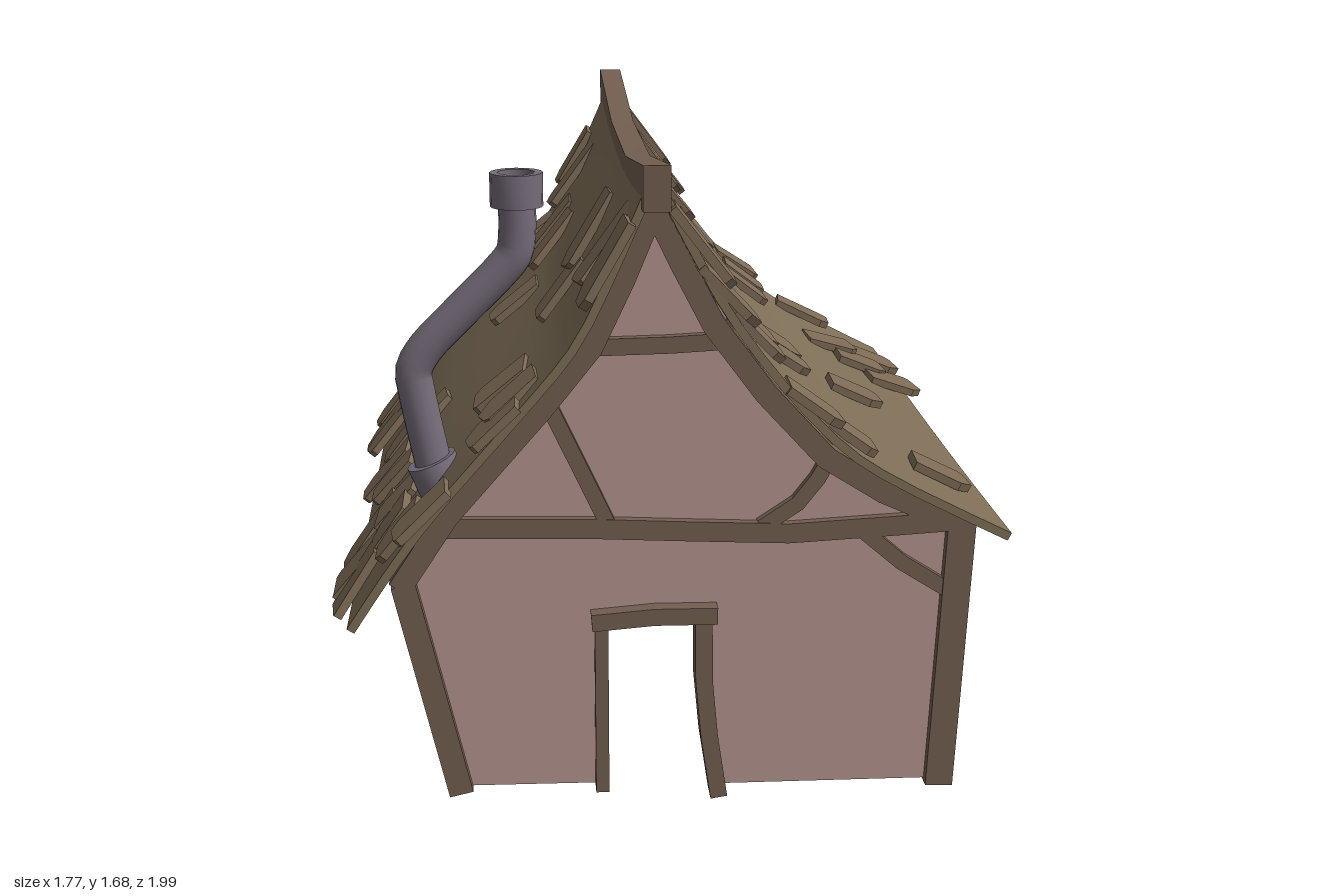
import * as THREE from 'three';
import { toCreasedNormals } from 'three/addons/utils/BufferGeometryUtils.js';

const V2 = (p) => new THREE.Vector2(p[0], p[1]);
const mat = (color, flatShading = false) => new THREE.MeshStandardMaterial({ color, flatShading, side: THREE.DoubleSide });
const WOOD = mat(0x735f51), ROOF = mat(0x7e6e57), TILE = mat(0x7d6b56, true);
const WALL = mat(0xb5958e), METAL = mat(0x766d7a);
const END = 0.843; // z of the gable walls

let seed = 7;
const rnd = (a, b) => {
  seed = (seed * 16807) % 2147483647;
  return a + (b - a) * (seed / 2147483647);
};

function add(parent, name, geo, material) {
  const m = new THREE.Mesh(geo, material);
  m.name = name;
  parent.add(m);
  return m;
}

// Strip of constant width along a 2D line, extruded in z about z = 0
function strip(points, width, depth, steps = 1) {
  const p = points.map(V2), a = [], b = [];
  p.forEach((q, i) => {
    const t = p[Math.min(i + 1, p.length - 1)].clone().sub(p[Math.max(i - 1, 0)]).normalize();
    const n = new THREE.Vector2(-t.y, t.x).multiplyScalar(width / 2);
    a.push(q.clone().add(n));
    b.unshift(q.clone().sub(n));
  });
  const g = new THREE.ExtrudeGeometry(new THREE.Shape([...a, ...b]), { depth, steps, bevelEnabled: false });
  return g.translate(0, 0, -depth / 2);
}
const beam = (parent, name, z, points, width, depth = 0.052) => {
  const m = add(parent, name, strip(points, width, depth), WOOD);
  m.position.z = z;
  return m;
};

// Roof slopes from ridge to eave, and the rafters below them
const smooth = (pts) => new THREE.SplineCurve(pts.map(V2)).getPoints(14).map((v) => [v.x, v.y]);
const slopes = {
  right: smooth([[-0.06, 1.645], [0.03, 1.47], [0.12, 1.31], [0.25, 1.135], [0.4, 0.975], [0.55, 0.873], [0.83, 0.728]]),
  left: smooth([[-0.065, 1.645], [-0.16, 1.43], [-0.25, 1.25], [-0.36, 1.11], [-0.6, 0.835], [-0.72, 0.675], [-0.82, 0.525]]),
};
const rafterL = [[-0.7, 0.61], [-0.575, 0.8], [-0.335, 1.075], [-0.215, 1.225], [-0.135, 1.395], [-0.065, 1.565]];
const rafterR = [[-0.06, 1.565], [0.005, 1.43], [0.085, 1.275], [0.215, 1.1], [0.37, 0.93], [0.52, 0.835], [0.73, 0.74]];

// The roof sags between its ends, most at the ridge
const sag = (y, z) => (0.008 + 0.05 * Math.max(0, y - 0.7)) * Math.max(0, 1 - (z / 0.92) ** 2);

function gableWall(back) {
  const s = new THREE.Shape([
    [-0.56, 0.05], [-0.195, 0.045], [-0.195, 0.51], [0.06, 0.51], [0.07, 0.25], [0.105, 0.03],
    [0.69, 0.025], [0.72, 0.74], ...rafterR.slice(0, -1).reverse(), ...rafterL.slice(0, -1).reverse(),
  ].map(V2));
  if (back) {
    for (const x of [0.38, -0.4])
      s.holes.push(new THREE.Path([[x - 0.09, 0.29], [x - 0.09, 0.5], [x + 0.09, 0.5], [x + 0.09, 0.29]].map(V2)));
    s.holes.push(new THREE.Path([[-0.085, 0.95], [-0.085, 1.06], [-0.015, 1.12], [0.055, 1.06], [0.055, 0.95]].map(V2)));
  }
  return new THREE.ShapeGeometry(s);
}

function gable(house, name, z) {
  const g = new THREE.Group();
  g.name = name;
  house.add(g);
  add(g, 'gableWall', gableWall(z < 0), WALL).position.z = z;
  beam(g, 'leftPost', z, [[0.692, 0.015], [0.722, 0.76]], 0.072);
  beam(g, 'rightPost', z, [[-0.56, 0.038], [-0.69, 0.62]], 0.062);
  beam(g, 'rightRafter', z, rafterL, 0.058);
  beam(g, 'leftRafter', z, rafterR, 0.058);
  beam(g, 'tieBeam', z, [[-0.59, 0.768], [-0.2, 0.757], [0.02, 0.745], [0.28, 0.732], [0.55, 0.745], [0.73, 0.755]], 0.052, 0.046);
  beam(g, 'collarBeam', z, [[-0.2, 1.225], [-0.02, 1.228], [0.12, 1.235]], 0.042, 0.046);
  beam(g, 'straightBrace', z, [[-0.315, 1.07], [-0.175, 0.765]], 0.04, 0.042);
  beam(g, 'curvedBrace', z, [[0.39, 0.95], [0.35, 0.875], [0.3, 0.81], [0.21, 0.75]], 0.04, 0.042);
  beam(g, 'cornerBrace', z, [[0.46, 0.74], [0.57, 0.645], [0.71, 0.555]], 0.04, 0.042);
  // Door frame
  beam(g, 'doorPost', z, [[-0.195, 0.035], [-0.195, 0.51]], 0.034, 0.07);
  beam(g, 'doorPost', z, [[0.065, 0.51], [0.067, 0.34], [0.082, 0.18], [0.108, 0.008]], 0.044, 0.07);
  beam(g, 'doorLintel', z, [[-0.22, 0.51], [-0.06, 0.522], [0.1, 0.52]], 0.045, 0.08);
  return g;
}

function backDoor(g, z) {
  for (let i = 0; i < 6; i++) {
    const x = -0.153 + i * 0.038;
    beam(g, 'doorPlank', z, [[x, 0.055 - i * 0.003], [x + rnd(-0.002, 0.002), 0.482]], 0.0355, 0.022);
  }
  beam(g, 'doorBar', z, [[-0.172, 0.395], [0.055, 0.398]], 0.03, 0.042);
  beam(g, 'doorBar', z, [[-0.172, 0.145], [-0.06, 0.133], [0.062, 0.12]], 0.03, 0.042);
}

function squareWindow(g, x, z) {
  const line = (name, pts, w, d) => beam(g, name, z, pts.map(([a, b]) => [x + a, b]), w, d);
  for (const s of [-1, 1]) line('windowSide', [[s * 0.097, 0.265], [s * 0.093, 0.525]], 0.028, 0.05);
  line('windowTop', [[-0.107, 0.515], [0.107, 0.52]], 0.03, 0.054);
  line('windowSill', [[-0.11, 0.278], [0.11, 0.272]], 0.03, 0.054);
  line('windowBar', [[0, 0.28], [0, 0.51]], 0.016, 0.026);
  for (const y of [0.355, 0.435]) line('windowBar', [[-0.09, y], [0.09, y]], 0.016, 0.026);
}

function archedWindow(g, x, z) {
  const arch = [[x - 0.08, 0.93]];
  for (let i = 0; i <= 6; i++) {
    const a = Math.PI * (1 - i / 6);
    arch.push([x + 0.08 * Math.cos(a), 1.045 + 0.09 * Math.sin(a)]);
  }
  beam(g, 'archedFrame', z, [...arch, [x + 0.08, 0.93]], 0.028, 0.05);
  beam(g, 'archedSill', z, [[x - 0.095, 0.94], [x + 0.095, 0.937]], 0.028, 0.054);
  beam(g, 'archedBar', z, [[x, 0.94], [x, 1.125]], 0.016, 0.026);
  beam(g, 'archedBar', z, [[x - 0.08, 1.035], [x + 0.08, 1.035]], 0.016, 0.026);
}

// Loose tiles, given as [x, z] on the roof
const tiles = {
  left: [[-0.77, -0.81], [-0.69, -0.73], [-0.79, -0.65], [-0.77, -0.55], [-0.42, -0.76], [-0.31, -0.81], [-0.17, -0.87],
    [-0.18, -0.72], [-0.26, -0.62], [-0.26, -0.46], [-0.38, -0.24], [-0.71, -0.14], [-0.76, -0.03], [-0.63, -0.03],
    [-0.73, 0.16], [-0.17, 0.19], [-0.25, 0.24], [-0.78, 0.4], [-0.7, 0.49], [-0.79, 0.57], [-0.42, 0.54], [-0.71, 0.63],
    [-0.8, 0.68], [-0.4, 0.77], [-0.68, 0.81], [-0.62, 0.91], [-0.15, 0.72], [-0.16, 0.9], [-0.44, 0.86]],
  right: [[0.03, -0.86], [0.06, -0.75], [0.04, -0.6], [0.1, -0.2], [0.03, -0.16], [0.04, 0.74], [0.03, 0.9], [0.1, 0.85],
    [0.32, -0.81], [0.33, -0.66], [0.32, -0.5], [0.56, -0.83], [0.61, -0.54], [0.76, -0.59], [0.69, -0.45], [0.78, -0.37],
    [0.58, 0.06], [0.32, 0.16], [0.33, 0.3], [0.2, 0.51], [0.2, 0.66], [0.32, 0.87], [0.41, 0.81], [0.7, 0.65]],
};

function placeTile(parent, line, x, z) {
  const i = Math.max(1, line.findIndex((p) => Math.abs(p[0] + 0.0625) >= Math.abs(x + 0.0625)));
  const [a, b] = [line[i - 1], line[i]];
  const y = a[1] + (b[1] - a[1]) * ((x - a[0]) / (b[0] - a[0]));
  const down = new THREE.Vector3(b[0] - a[0], b[1] - a[1], 0).normalize();
  // Tiles on the steep part are longer
  const L = (rnd(0.15, 0.19) / 2) * (down.y < -0.82 ? 1.35 : 1), W = rnd(0.125, 0.155) / 2, c = rnd(0.015, 0.045);
  const outline = [[-L, -W], [L - c, -W], [L, c - W], [L - rnd(0, 0.015), W - c / 2], [L - c * 0.7, W], [-L, W * 0.9]];
  const geo = new THREE.ExtrudeGeometry(new THREE.Shape(outline.map(V2)), { depth: 0.022, bevelEnabled: false });
  geo.rotateX(-Math.PI / 2).rotateY(rnd(-0.14, 0.14));
  // Downhill axis, lifted a little at the lower edge
  const tilt = Math.abs(x) > 0.65 ? rnd(0, 0.12) : rnd(0.08, 0.22);
  down.applyAxisAngle(new THREE.Vector3(0, 0, 1), Math.sign(down.x) * tilt);
  const n = new THREE.Vector3(-down.y, down.x, 0).multiplyScalar(Math.sign(down.x));
  const m = add(parent, 'roofTile', geo, TILE);
  m.quaternion.setFromRotationMatrix(new THREE.Matrix4().makeBasis(down, n, down.clone().cross(n)));
  m.position.set(x, y - sag(y, z), z).addScaledVector(n, 0.014);
}

function roof(house) {
  const g = new THREE.Group();
  g.name = 'roof';
  house.add(g);
  for (const side of ['left', 'right']) {
    const geo = strip(slopes[side], 0.022, 1.82, 10).translate(0, 0, 0.01);
    const p = geo.attributes.position;
    for (let i = 0; i < p.count; i++) p.setY(i, p.getY(i) - sag(p.getY(i), p.getZ(i)));
    add(g, 'roofSlope', toCreasedNormals(geo, 0.6), ROOF);
    for (const [x, z] of tiles[side]) placeTile(g, slopes[side], x, z);
  }
  // Ridge beam, thinner and lower in the middle
  const ridge = new THREE.BoxGeometry(0.066, 2, 1.97, 1, 1, 3), p = ridge.attributes.position;
  for (let i = 0; i < p.count; i++) {
    const end = Math.abs(p.getZ(i)) > 0.6;
    p.setY(i, (end ? 1.63 : 1.572) + p.getY(i) * (end ? 0.055 : 0.032));
  }
  add(g, 'ridgeBeam', toCreasedNormals(ridge, 0.3), WOOD).position.set(-0.0625, 0, -0.015);
}

function chimney(house) {
  const g = new THREE.Group();
  g.name = 'chimney';
  g.position.z = 0.66;
  house.add(g);
  const path = new THREE.CatmullRomCurve3([[-0.597, 0.785], [-0.615, 0.88], [-0.65, 1.07], [-0.655, 1.12], [-0.63, 1.17],
    [-0.53, 1.275], [-0.43, 1.375], [-0.395, 1.42], [-0.387, 1.47], [-0.387, 1.6]].map(([x, y]) => new THREE.Vector3(x, y, 0)));
  add(g, 'chimneyPipe', new THREE.TubeGeometry(path, 40, 0.047, 16), METAL);
  const ring = [[0.044, -0.042], [0.066, -0.042], [0.066, 0.042], [0.046, 0.042], [0.044, -0.042]].map(V2);
  const collar = toCreasedNormals(new THREE.LatheGeometry(ring, 16), 0.7);
  add(g, 'chimneyCap', collar, METAL).position.set(-0.387, 1.58, 0);
  const base = add(g, 'chimneyBase', collar, METAL);
  base.position.set(-0.603, 0.845, 0);
  base.rotation.z = 0.38;
}

export function createModel() {
  const house = new THREE.Group();
  house.name = 'cottage';
  gable(house, 'frontGable', END);
  const back = gable(house, 'backGable', -END);
  backDoor(back, -END);
  squareWindow(back, 0.38, -END);
  squareWindow(back, -0.4, -END);
  archedWindow(back, -0.015, -END);
  // Side walls
  add(house, 'leftWall', strip([[0.69, 0.012], [0.72, 0.745]], 0.004, 2 * END), WALL);
  add(house, 'rightWall', strip([[-0.56, 0.045], [-0.695, 0.62]], 0.004, 2 * END), WALL);
  roof(house);
  chimney(house);
  return house;
}
